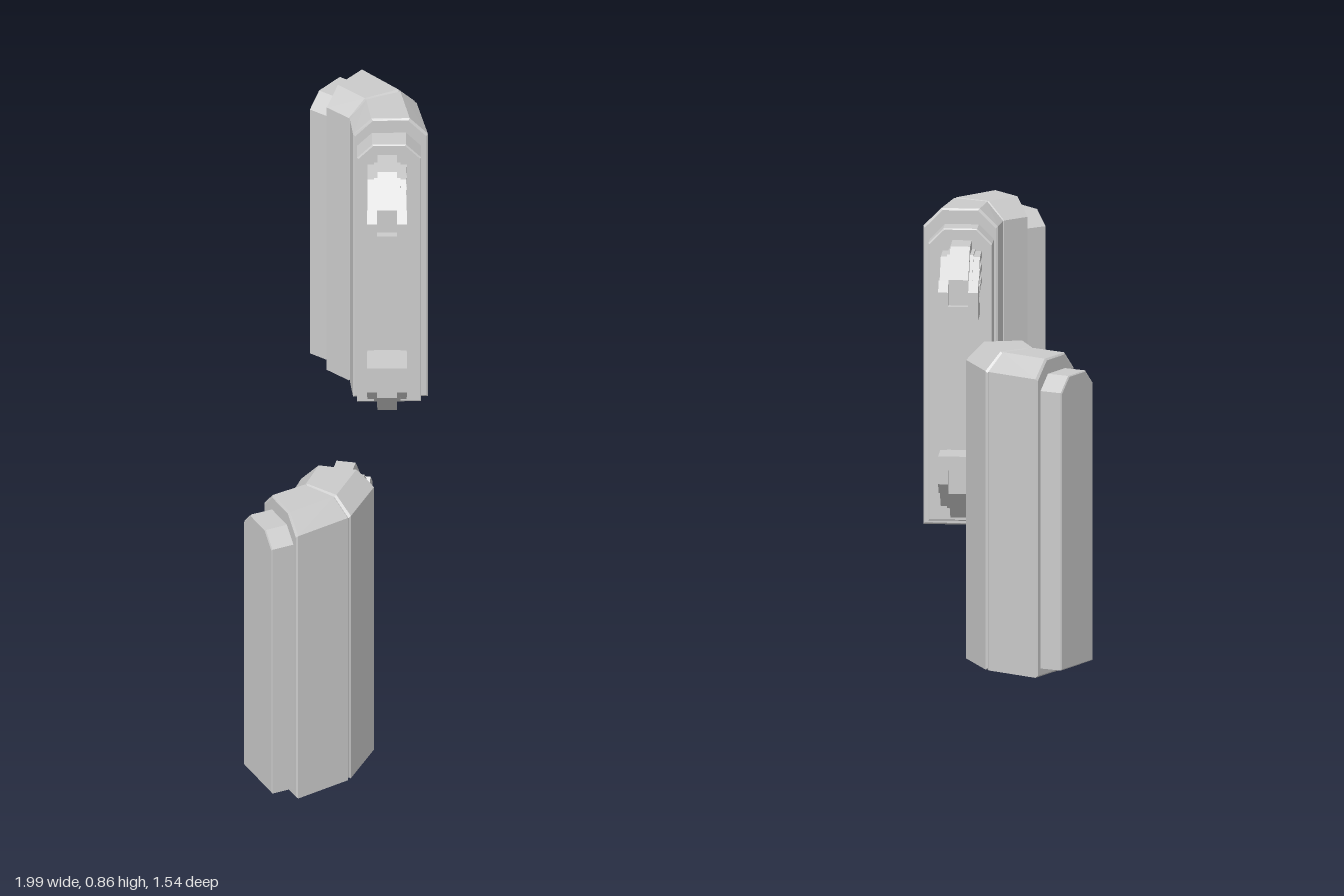
import * as THREE from 'three';
import { ConvexGeometry } from 'three/addons/geometries/ConvexGeometry.js';

const material = new THREE.MeshStandardMaterial({ color: 0xcccccc, flatShading: true });

function addMesh(parent, name, geometry) {
  const mesh = new THREE.Mesh(geometry, material);
  mesh.name = name;
  parent.add(mesh);
  return mesh;
}

// Upright slab section between plan points a (inner) and b (outer), top corners chamfered
function section(a, b, y0, y1, chamfer, inset) {
  const len = a.distanceTo(b);
  const lo = inset, hi = len - inset, bottom = y0 + inset, top = y1 - inset;
  return [
    [lo, bottom], [hi, bottom], [hi, top - chamfer],
    [hi - chamfer, top], [lo + chamfer, top], [lo, top - chamfer],
  ].map(([d, y]) => {
    const p = a.clone().lerp(b, d / len);
    return new THREE.Vector3(p.x, y, p.y);
  });
}

// Convex slab between two plan lines, with a fine bevel at both ends
function slab(a0, b0, a1, b1, y0, y1, chamfer, bevel) {
  const points = [];
  for (const [t, inset] of [[0, bevel], [0.04, 0], [0.97, 0], [1, bevel]]) {
    points.push(...section(a0.clone().lerp(a1, t), b0.clone().lerp(b1, t), y0, y1, chamfer, inset));
  }
  return new ConvexGeometry(points);
}

// Outer line of a claw, moved inwards by d
function clawLine(d) {
  return [
    [-0.03, 0.782 - 1.3 * d], [0.085 - 0.4 * d, 0.782 - 1.3 * d],
    [0.172 - d, 0.682 - 0.4 * d], [0.172 - d, 0.6],
  ];
}

// Bent claw: stacked bands of different widths give the stepped ribs
function makeClaw(name, flip) {
  const claw = new THREE.Group();
  claw.name = name;
  const place = ([s, y]) => new THREE.Vector2(s, flip ? 0.832 - y : y);
  const plate = (part, outline, width, offset = 0) => {
    const geometry = new THREE.ExtrudeGeometry(new THREE.Shape(outline.map(place)), { depth: width, bevelEnabled: false });
    geometry.translate(0, 0, offset - width / 2);
    addMesh(claw, part, geometry);
  };
  const bands = [
    ['clawCore', 0.018, 0.09, 0.07],
    ['clawRib', 0.022, 0.036, 0.104],
    ['clawRib', 0.048, 0.062, 0.104],
    ['clawRib', 0.076, 0.088, 0.104],
  ];
  for (const [part, d0, d1, width] of bands) {
    plate(part, [...clawLine(d0), ...clawLine(d1).reverse()], width);
  }
  // Raised spine, ending in an upright face between the tip cheeks
  plate('clawSpine', [
    [-0.03, 0.782], [0.085, 0.782], [0.155, 0.705], [0.155, 0.6],
    [0.125, 0.6], [0.125, 0.69], [0.07, 0.745], [-0.03, 0.745],
  ], 0.052);
  plate('clawTip', [[0.09, 0.6], [0.177, 0.6], [0.177, 0.637], [0.09, 0.637]], 0.106);
  for (const side of [-1, 1]) {
    plate('clawTipCheek', [
      [0.125, 0.63], [0.177, 0.63], [0.177, 0.675], [0.152, 0.703], [0.125, 0.68],
    ], 0.026, side * 0.04);
  }
  return claw;
}

// One bent panel; clawSide (+1 or -1) picks the end that carries the claws
function makePanel(name, clawSide) {
  const panel = new THREE.Group();
  panel.name = name;
  const jointIn = new THREE.Vector2(0, 0);
  const jointOut = new THREE.Vector2(0, 0.197);
  for (const side of [-1, 1]) {
    const endIn = new THREE.Vector2(side * 0.081, -0.03);
    const endOut = new THREE.Vector2(side * 0.168, 0.149);
    addMesh(panel, 'panelHalf', slab(jointIn, jointOut, endIn, endOut, 0, 0.855, 0.048, 0.005));

    // Narrower slab stepping out of the end face
    const along = endOut.clone().sub(endIn).normalize();
    const normal = new THREE.Vector2(side * along.y, -side * along.x);
    const corner = (t, d) => endIn.clone().addScaledVector(along, t).addScaledVector(normal, d);
    addMesh(panel, 'endCap', slab(
      corner(0.01, -0.01), corner(0.18, -0.01), corner(0.01, 0.064), corner(0.18, 0.064),
      0.023, 0.813, 0.04, 0.003,
    ));
  }
  for (const flip of [false, true]) {
    const claw = makeClaw(flip ? 'lowerClaw' : 'upperClaw', flip);
    claw.position.set(clawSide * 0.181, 0, 0.021);
    claw.rotation.y = clawSide > 0 ? 0.464 : Math.PI - 0.464;
    panel.add(claw);
  }
  return panel;
}

export function createModel() {
  const model = new THREE.Group();
  model.name = 'panelPair';

  const front = makePanel('frontPanel', 1);
  front.position.set(-0.786, 0, 0.57);
  front.rotation.y = 0.055;

  const rear = makePanel('rearPanel', -1);
  rear.position.set(0.797, 0, -0.61);
  rear.rotation.y = 1.18;

  model.add(front, rear);
  return model;
}
